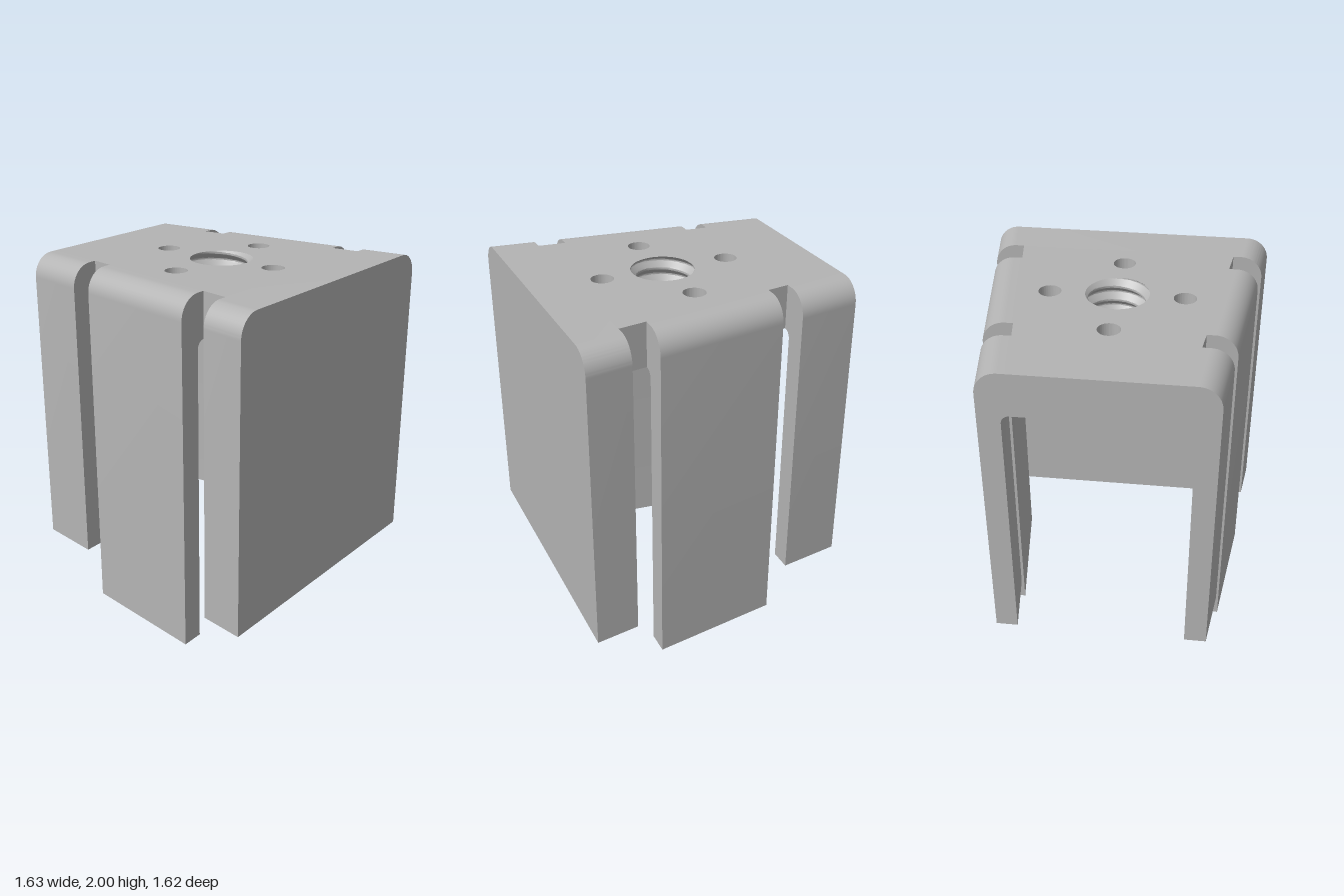
import * as THREE from 'three';
import { toCreasedNormals } from 'three/addons/utils/BufferGeometryUtils.js';

const SLOPE = 0.126;                       // sideways taper per unit of depth
const half = z => 0.7135 + SLOPE * z;      // outer half width at depth z
const TOP = 2, PLATE = 0.25, WALL = 0.125, ROUND = 0.125, FILLET = 0.045;
const BACK = -0.81, FRONT = 0.81, SLAB = 0.56;
const HOLE_Z = 0.035, SLEEVE_R = 0.195;

export function createModel() {
  const group = new THREE.Group();
  const grey = new THREE.MeshStandardMaterial({ color: 0xb4b4b4 });
  grey.name = 'metal grey';

  const add = (name, geometry) => {
    geometry.deleteAttribute('uv');
    const mesh = new THREE.Mesh(toCreasedNormals(geometry, 0.5), grey);
    mesh.name = name;
    group.add(mesh);
  };

  // Extrude an xy profile (drawn at z = 0) from z0 to z1, following the taper
  const tapered = (shape, z0, z1) => {
    const g = new THREE.ExtrudeGeometry(shape, { depth: z1 - z0, bevelEnabled: false, curveSegments: 12 });
    g.translate(0, 0, z0);
    const p = g.attributes.position;
    for (let i = 0; i < p.count; i++) {
      p.setX(i, p.getX(i) + Math.sign(p.getX(i)) * SLOPE * p.getZ(i));
    }
    return g;
  };

  // Side wall profile: rounded outer shoulder, small inner fillet
  const wallShape = (side, bottom) => {
    const o = half(0), i = o - WALL, e = i - FILLET;
    const s = new THREE.Shape();
    s.moveTo(side * e, TOP);
    s.lineTo(side * (o - ROUND), TOP);
    for (let k = 1; k <= 12; k++) {
      const a = (k / 12) * Math.PI / 2;
      s.lineTo(side * (o - ROUND + ROUND * Math.sin(a)), TOP - ROUND + ROUND * Math.cos(a));
    }
    s.lineTo(side * o, bottom);
    s.lineTo(side * i, bottom);
    for (let k = 0; k <= 6; k++) {
      const a = (k / 6) * Math.PI / 2;
      s.lineTo(side * (e + FILLET * Math.cos(a)), TOP - PLATE - FILLET + FILLET * Math.sin(a));
    }
    s.closePath();
    return s;
  };

  // Back and middle legs, mirrored
  for (const side of [1, -1]) {
    const label = side > 0 ? 'left' : 'right';
    add(label + 'BackLeg', tapered(wallShape(side, 0.25), BACK, -0.455));
    add(label + 'MiddleLeg', tapered(wallShape(side, 0), -0.33, 0.405));
  }

  // Solid front slab with rounded top corners
  const w = half(0);
  const slab = new THREE.Shape();
  slab.moveTo(-w, 0.25);
  slab.lineTo(w, 0.25);
  slab.lineTo(w, TOP - ROUND);
  slab.absarc(w - ROUND, TOP - ROUND, ROUND, 0, Math.PI / 2, false);
  slab.lineTo(-w + ROUND, TOP);
  slab.absarc(-w + ROUND, TOP - ROUND, ROUND, Math.PI / 2, Math.PI, false);
  slab.closePath();
  add('frontSlab', tapered(slab, SLAB, FRONT));

  // Top plate with one large and four small holes
  const edge = z => half(z) - WALL - FILLET;
  const plate = new THREE.Shape();
  plate.moveTo(-edge(SLAB), -SLAB);
  plate.lineTo(edge(SLAB), -SLAB);
  plate.lineTo(edge(BACK), -BACK);
  plate.lineTo(-edge(BACK), -BACK);
  plate.closePath();
  const holes = [[0, 0, SLEEVE_R], [0.37, 0, 0.063], [-0.37, 0, 0.063], [0, 0.37, 0.063], [0, -0.37, 0.063]];
  for (const [x, z, r] of holes) {
    plate.holes.push(new THREE.Path().absarc(x, -HOLE_Z - z, r, 0, Math.PI * 2, true));
  }
  const plateGeo = new THREE.ExtrudeGeometry(plate, { depth: PLATE, bevelEnabled: false, curveSegments: 32 });
  plateGeo.rotateX(-Math.PI / 2);
  plateGeo.translate(0, TOP - PLATE, 0);
  add('topPlate', plateGeo);

  // Threaded sleeve: rim, helical groove wall, rim
  const SEG = 64, ROWS = 72, TURNS = 3;
  const pos = [], index = [];
  for (let j = -1; j <= ROWS + 1; j++) {
    const t = THREE.MathUtils.clamp(j / ROWS, 0, 1);
    for (let i = 0; i <= SEG; i++) {
      const a = (i / SEG) * Math.PI * 2;   // counterclockwise from above
      const phase = t * TURNS + (a + Math.PI / 2) / (Math.PI * 2) + 0.5;
      const f = phase - Math.floor(phase);
      const groove = Math.min(1, Math.max(0, 1.15 - 1.35 * Math.abs(2 * f - 1)));
      const r = j < 0 || j > ROWS ? SLEEVE_R : 0.16 + 0.033 * groove;
      pos.push(r * Math.cos(a), TOP - PLATE * t, HOLE_Z - r * Math.sin(a));
    }
  }
  for (let j = 0; j < ROWS + 2; j++) {
    for (let i = 0; i < SEG; i++) {
      const a = j * (SEG + 1) + i, b = a + SEG + 1;
      index.push(a, a + 1, b, b, a + 1, b + 1);
    }
  }
  const sleeve = new THREE.BufferGeometry();
  sleeve.setAttribute('position', new THREE.Float32BufferAttribute(pos, 3));
  sleeve.setIndex(index);
  add('threadedHole', sleeve);

  return group;
}
